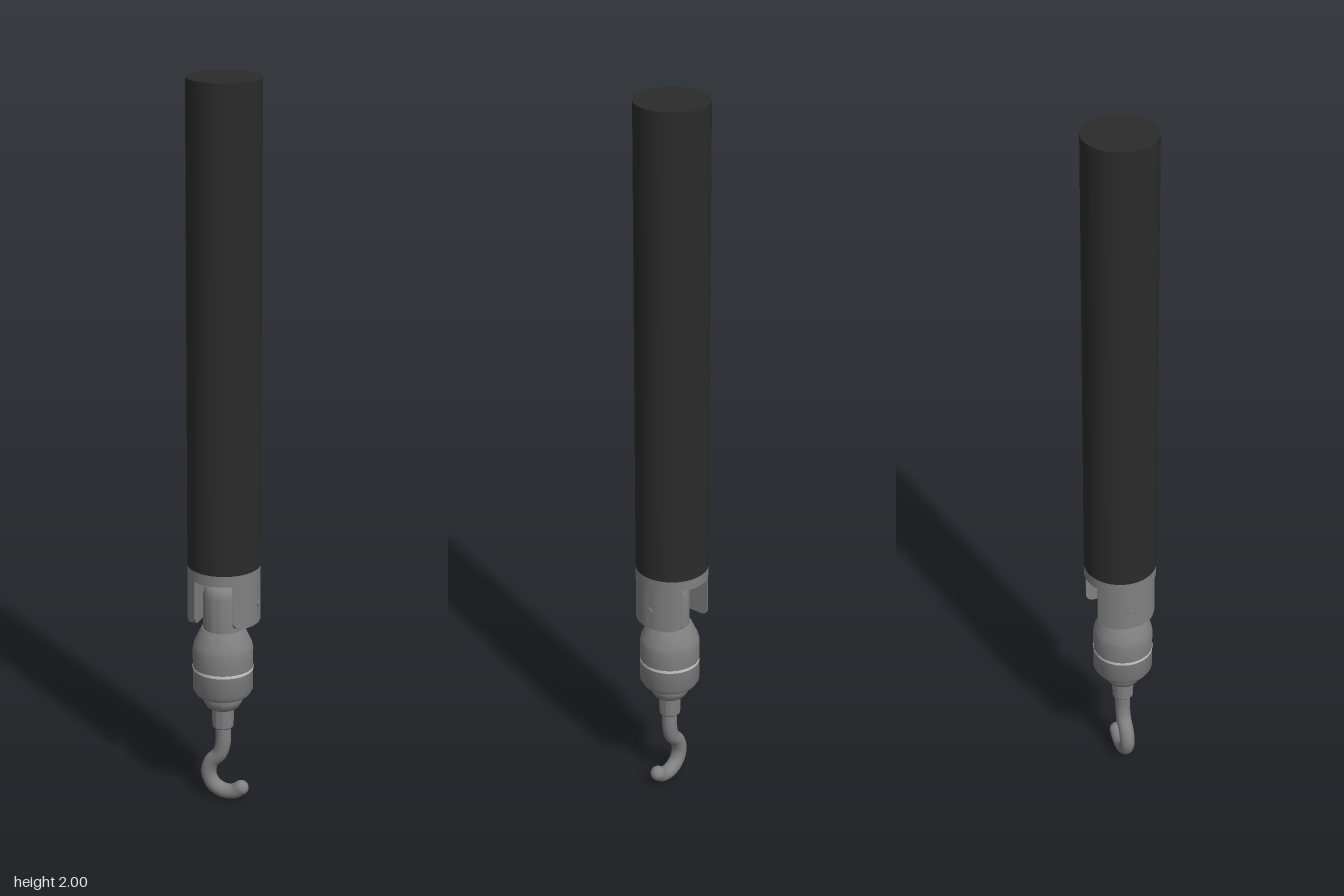
import * as THREE from 'three';
import { toCreasedNormals } from 'three/addons/utils/BufferGeometryUtils.js';

const dark = new THREE.MeshStandardMaterial({ color: 0x2b2b2b });
const steel = new THREE.MeshStandardMaterial({ color: 0x808080 });
const light = new THREE.MeshStandardMaterial({ color: 0xcccccc });
const R = 0.098; // handle radius
const Z = 0.008; // forward offset of the swivel and hook

function add(parent, name, geometry, material, x = 0, y = 0, z = 0) {
  const mesh = new THREE.Mesh(geometry, material);
  mesh.name = name;
  mesh.position.set(x, y, z);
  parent.add(mesh);
  return mesh;
}

function lathe(points) {
  const profile = points.map(([r, y]) => new THREE.Vector2(r, y));
  return toCreasedNormals(new THREE.LatheGeometry(profile, 48), 0.6);
}

// Cheek with a flat inner face, cylindrical outer face and rounded lower corners
function cheekGeometry() {
  const bottom = 0.535, top = 0.665, inner = 0.053, halfWidth = 0.081, corner = 0.022;
  const g = new THREE.BoxGeometry(1, 1, 1, 1, 24, 20);
  const p = g.attributes.position;
  for (let i = 0; i < p.count; i++) {
    const t = p.getY(i) + 0.5;
    const h = t * t * (top - bottom); // denser rows near the rounded end
    const d = Math.max(0, corner - h);
    const w = halfWidth - corner + Math.sqrt(corner * corner - d * d);
    const z = p.getZ(i) * 2 * w;
    const x = p.getX(i) > 0 ? Math.sqrt(R * R - z * z) : inner;
    p.setXYZ(i, x, bottom + h, z);
  }
  return toCreasedNormals(g, 0.6);
}

export function createModel() {
  const model = new THREE.Group();
  model.name = 'swivelHook';

  // Long dark handle
  add(model, 'handle', new THREE.CylinderGeometry(R, R, 1.31, 64), dark, 0, 1.345);

  // Fork: end plate, two cheeks and the cross pin
  const fork = new THREE.Group();
  fork.name = 'fork';
  model.add(fork);
  add(fork, 'forkPlate', new THREE.CylinderGeometry(R, R, 0.03, 64), steel, 0, 0.675);
  const cheek = cheekGeometry();
  add(fork, 'leftCheek', cheek, steel);
  add(fork, 'rightCheek', cheek, steel).rotation.y = Math.PI;
  add(fork, 'crossPin', new THREE.CylinderGeometry(0.01, 0.01, 0.202, 20), steel, 0, 0.59)
    .rotation.z = Math.PI / 2;

  // Swivel: rounded tongue, bell-shaped body, stepped collar and stem
  const swivel = new THREE.Group();
  swivel.name = 'swivel';
  swivel.position.z = Z;
  model.add(swivel);
  add(swivel, 'swivelTongue', lathe([
    [0.054, 0.5], [0.054, 0.605], [0.051, 0.619], [0.045, 0.63], [0.036, 0.635], [0, 0.635],
  ]), steel);
  add(swivel, 'swivelBody', lathe([
    [0, 0.315], [0.066, 0.315], [0.073, 0.318], [0.082, 0.333], [0.082, 0.45],
    [0.079, 0.465], [0.062, 0.502], [0.057, 0.51], [0, 0.51],
  ]), steel);
  add(swivel, 'seamRing', new THREE.CylinderGeometry(0.0825, 0.0825, 0.008, 48), light, 0, 0.395);
  add(swivel, 'collar', lathe([
    [0, 0.275], [0.038, 0.275], [0.044, 0.279], [0.053, 0.294], [0.055, 0.302], [0.055, 0.318], [0, 0.318],
  ]), steel);
  add(swivel, 'stem', lathe([
    [0, 0.215], [0.026, 0.215], [0.029, 0.219], [0.031, 0.28], [0, 0.28],
  ]), steel);

  // Hook opening to the left, with a rounded tip
  const hook = new THREE.Group();
  hook.name = 'hook';
  hook.position.z = Z;
  model.add(hook);
  const path = new THREE.CatmullRomCurve3([
    [0, 0.23], [0, 0.165], [-0.01, 0.132], [-0.034, 0.104], [-0.042, 0.07],
    [-0.028, 0.038], [0.002, 0.022], [0.034, 0.025], [0.053, 0.038],
  ].map(([x, y]) => new THREE.Vector3(x, y, 0)));
  add(hook, 'hookBar', new THREE.TubeGeometry(path, 56, 0.021, 20), steel);
  add(hook, 'hookTip', new THREE.SphereGeometry(0.021, 20, 14), steel, 0.053, 0.038);

  return model;
}
